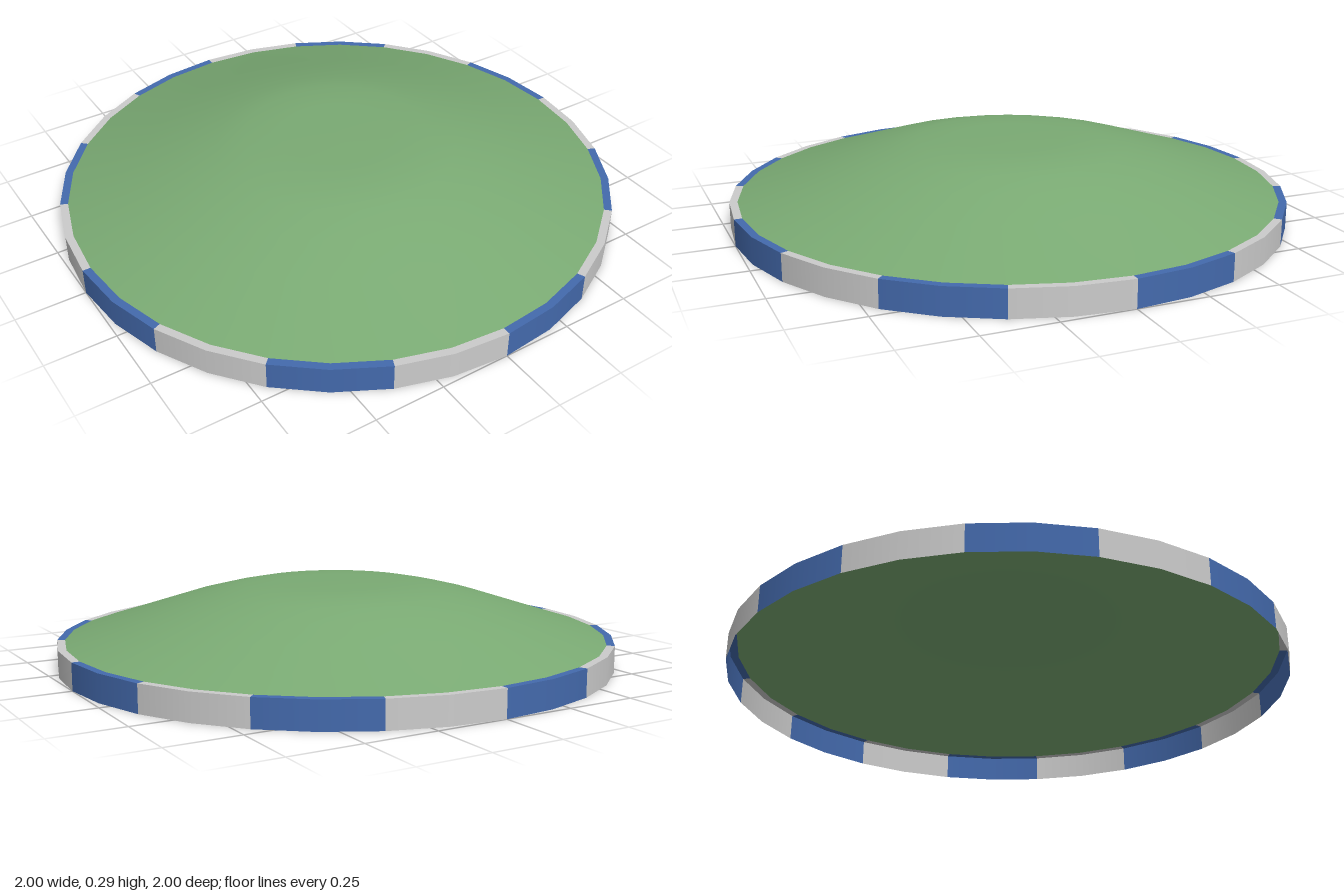
import * as THREE from 'three';

const SIDES = 32;        // facets around the disc
const BLOCKS = 16;       // coloured rim blocks, two facets each
const RIM_HEIGHT = 0.096;
const INNER = 0.972;

function makeMaterial(color) {
  return new THREE.MeshStandardMaterial({ color, side: THREE.DoubleSide });
}

export function createModel() {
  const model = new THREE.Group();
  const grey = makeMaterial(0xcccccc);
  const blue = makeMaterial(0x446aad);
  const green = makeMaterial(0x7aaa73);

  // Rim: thin outer wall with a narrow flange on top, alternating colours
  const rim = new THREE.Group();
  rim.name = 'rim';
  const arc = (Math.PI * 2) / BLOCKS;
  const flangeProfile = [new THREE.Vector2(1, RIM_HEIGHT), new THREE.Vector2(INNER, RIM_HEIGHT)];
  for (let i = 0; i < BLOCKS; i++) {
    const material = i % 2 ? grey : blue;
    const wall = new THREE.Mesh(
      new THREE.CylinderGeometry(1, 1, RIM_HEIGHT, SIDES / BLOCKS, 1, true, i * arc, arc), material);
    wall.position.y = RIM_HEIGHT / 2;
    wall.name = 'rimWall';
    const flange = new THREE.Mesh(
      new THREE.LatheGeometry(flangeProfile, SIDES / BLOCKS, i * arc, arc), material);
    flange.name = 'rimFlange';
    rim.add(wall, flange);
  }
  model.add(rim);

  // Shallow dome with a nearly flat crown, open underneath
  const profile = [
    [INNER, RIM_HEIGHT], [0.85, 0.134], [0.7, 0.182], [0.55, 0.23],
    [0.43, 0.26], [0.33, 0.28], [0.2, 0.285], [0, 0.286],
  ].map(([r, y]) => new THREE.Vector2(r, y));
  const dome = new THREE.Mesh(new THREE.LatheGeometry(profile, SIDES), green);
  dome.name = 'dome';
  model.add(dome);

  return model;
}
